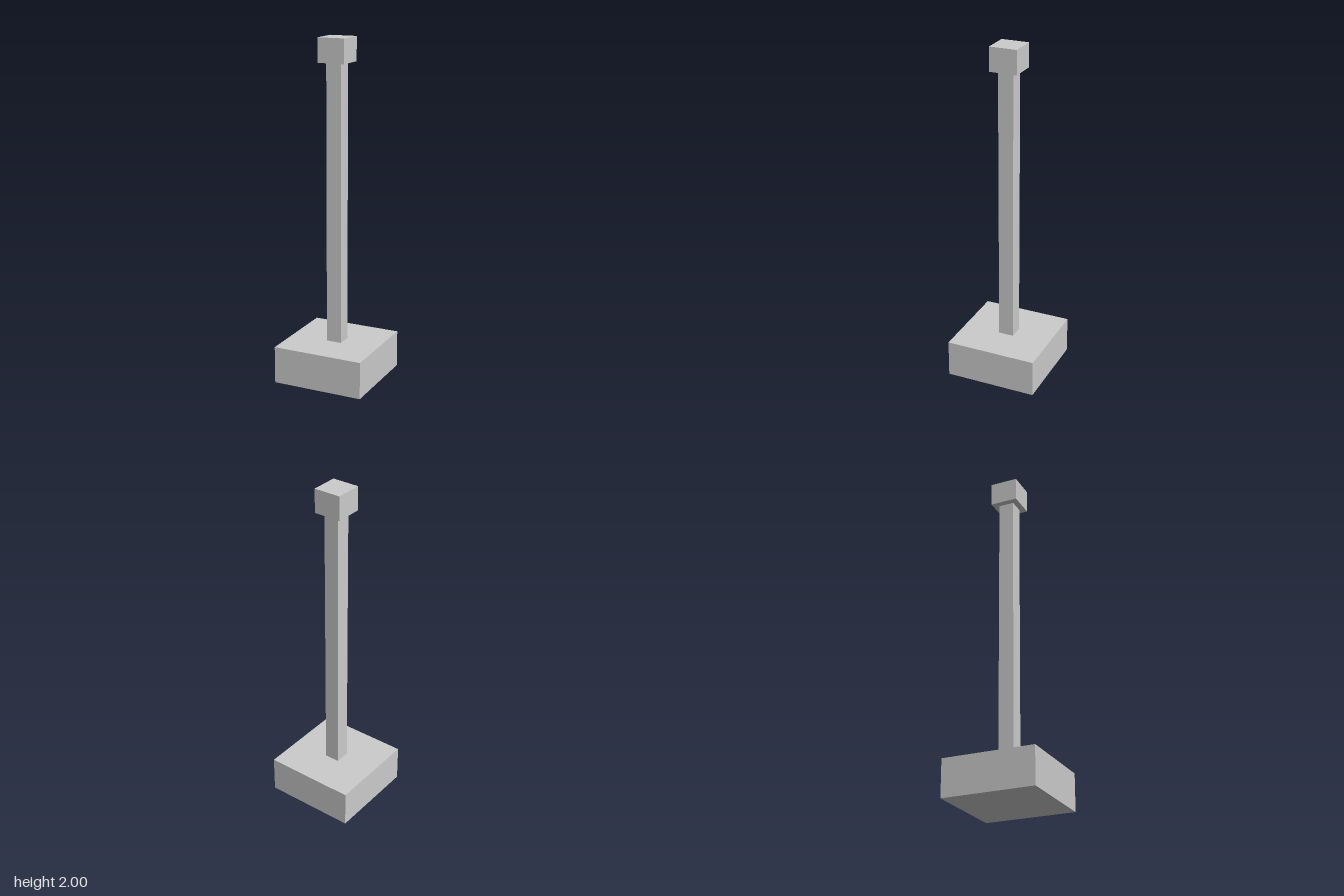
import * as THREE from 'three';

export function createModel() {
  const group = new THREE.Group();
  const material = new THREE.MeshStandardMaterial({ color: 0xcccccc, flatShading: true });

  // Square block spanning bottom..top, centred on the vertical axis
  function addBlock(name, width, bottom, top) {
    const mesh = new THREE.Mesh(new THREE.BoxGeometry(width, top - bottom, width), material);
    mesh.name = name;
    mesh.position.y = (bottom + top) / 2;
    group.add(mesh);
  }

  addBlock('base', 0.545, 0, 0.22);
  addBlock('post', 0.091, 0.22, 1.86);
  addBlock('cap', 0.163, 1.86, 2);

  return group;
}
